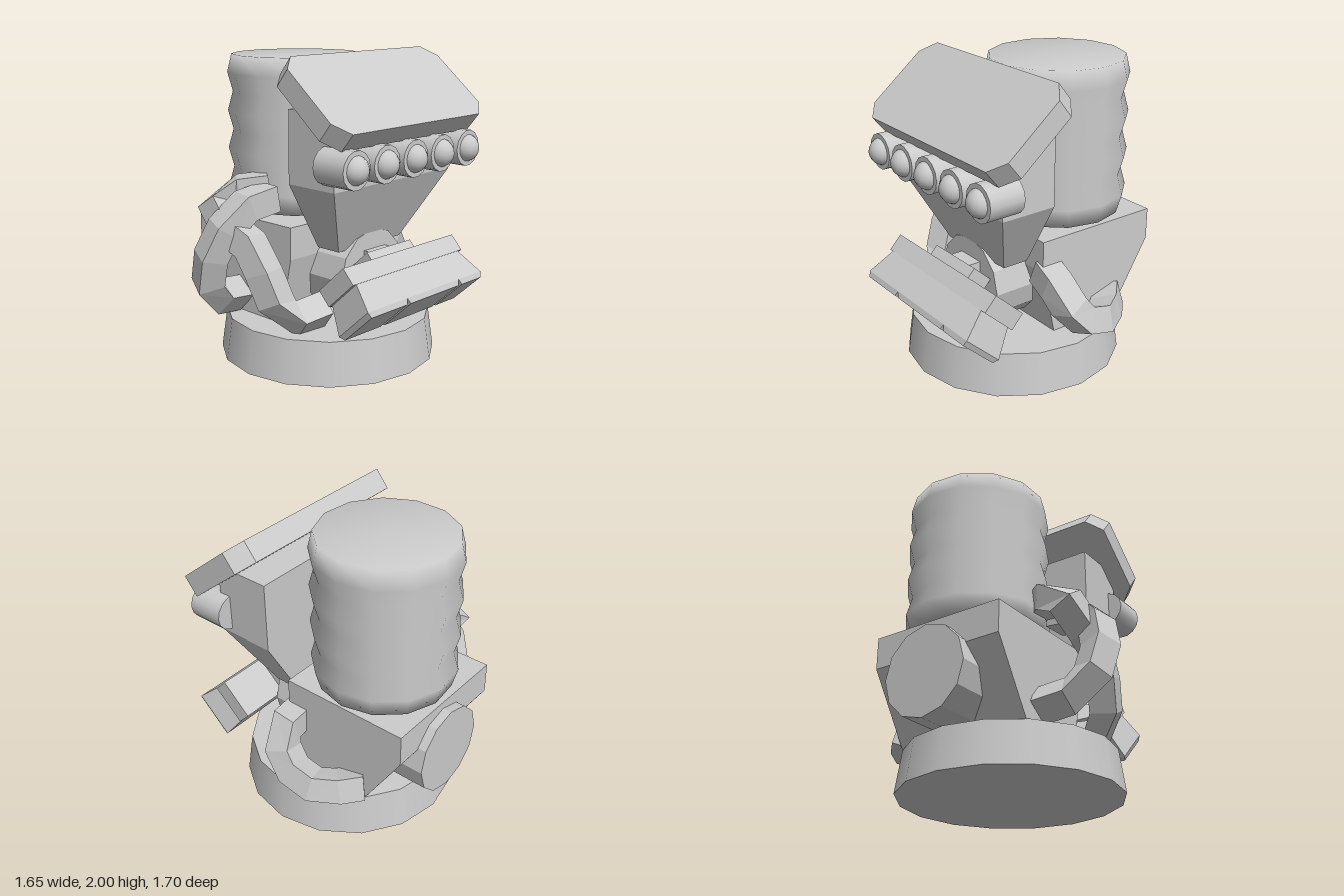
import * as THREE from 'three';

const grey = new THREE.MeshStandardMaterial({ color: 0xcccccc, side: THREE.DoubleSide });
const flat = new THREE.MeshStandardMaterial({ color: 0xcccccc, flatShading: true, side: THREE.DoubleSide });

function add(parent, name, geometry, material = flat, x = 0, y = 0, z = 0) {
  const mesh = new THREE.Mesh(geometry, material);
  mesh.name = name;
  mesh.position.set(x, y, z);
  parent.add(mesh);
  return mesh;
}

// Closed solid through rectangles [y, xMin, xMax, zMin, zMax] stacked along y
function loft(levels) {
  const pos = [], idx = [];
  for (const [y, x0, x1, z0, z1] of levels) pos.push(x1, y, z1, x1, y, z0, x0, y, z0, x0, y, z1);
  for (let i = 0; i < levels.length - 1; i++) {
    for (let j = 0; j < 4; j++) {
      const a = i * 4 + j, b = i * 4 + (j + 1) % 4;
      idx.push(a, b, b + 4, a, b + 4, a + 4);
    }
  }
  const e = (levels.length - 1) * 4;
  idx.push(0, 2, 1, 0, 3, 2, e, e + 1, e + 2, e, e + 2, e + 3);
  const g = new THREE.BufferGeometry();
  g.setAttribute('position', new THREE.Float32BufferAttribute(pos, 3));
  g.setIndex(idx);
  const out = g.toNonIndexed();
  out.computeVertexNormals();
  return out;
}

const polygon = pts => new THREE.Shape(pts.map(p => new THREE.Vector2(...p)));

// Square-section hose swept along a few points
function hose(points, size = 0.17, steps = 6) {
  const path = new THREE.CatmullRomCurve3(points.map(p => new THREE.Vector3(...p)));
  const h = size / 2;
  return new THREE.ExtrudeGeometry(polygon([[-h, -h], [h, -h], [h, h], [-h, h]]),
    { steps, extrudePath: path, bevelEnabled: false });
}

export function createModel() {
  const model = new THREE.Group();
  model.name = 'machine';

  // Round foot
  add(model, 'base', new THREE.CylinderGeometry(0.68, 0.72, 0.28, 16), grey, 0, 0.14, -0.06);

  // Rippled tank
  const profile = [new THREE.Vector2(0, 0.95)];
  for (let i = 0; i < 8; i++) profile.push(new THREE.Vector2(i % 2 ? 0.47 : 0.435, 0.95 + i * 0.127));
  profile.push(new THREE.Vector2(0.44, 1.96), new THREE.Vector2(0, 1.96));
  add(model, 'tank', new THREE.LatheGeometry(profile, 13), grey, -0.32, 0, -0.1).rotation.y = Math.PI;

  // Housing under the tank
  add(model, 'housing', new THREE.ExtrudeGeometry(
    polygon([[-0.77, 0.93], [-0.77, 0.72], [-0.49, 0.27], [0.02, 0.27], [0.12, 0.72], [0.12, 0.93]]),
    { depth: 0.93, bevelEnabled: false }), flat, 0, 0, -0.53);

  // Drum lying across the housing
  const drum = new THREE.CylinderGeometry(0.295, 0.295, 1.2, 12);
  drum.rotateZ(Math.PI / 2);
  add(model, 'drum', drum, flat, -0.23, 0.585, -0.095);

  // Tapered console
  add(model, 'console', loft([
    [0.77, 0.15, 0.33, -0.405, 0.185],
    [1.22, 0.15, 0.53, -0.66, 0.44],
    [1.55, 0.15, 0.53, -0.66, 0.44],
    [1.68, 0.15, 0.37, -0.66, 0.44]]));

  // Sloping panel with cut corners
  const L = 0.323, W = 0.705, c = 0.1;
  const panel = new THREE.ExtrudeGeometry(polygon([
    [-L + c, -W], [L - c, -W], [L, -W + c], [L, W - c],
    [L - c, W], [-L + c, W], [-L, W - c], [-L, -W + c]]), { depth: 0.14, bevelEnabled: false });
  panel.applyMatrix4(new THREE.Matrix4().makeBasis(
    new THREE.Vector3(0.775, -0.632, 0), new THREE.Vector3(0, 0, -1), new THREE.Vector3(0.632, 0.775, 0)));
  add(model, 'panel', panel, flat, 0.365, 1.685, -0.135);

  // Row of lamps
  const socket = new THREE.CylinderGeometry(0.118, 0.118, 0.24, 14);
  socket.rotateZ(-Math.PI / 2);
  const bulb = new THREE.SphereGeometry(0.09, 14, 10);
  for (let i = -2; i <= 2; i++) {
    const lamp = new THREE.Group();
    lamp.name = 'lamp';
    lamp.position.set(0.57, 1.375, -0.115 + i * 0.267);
    add(lamp, 'lampSocket', socket, grey);
    add(lamp, 'lampBulb', bulb, grey, 0.1);
    model.add(lamp);
  }

  // Tilted keyboard: local +y points out and down
  const keyboard = new THREE.Group();
  keyboard.name = 'keyboard';
  keyboard.position.set(0.56, 0.59, 0);
  keyboard.rotation.z = Math.atan2(-0.68, -0.73);
  add(keyboard, 'keyboardMount', loft([[-0.19, -0.083, 0.083, -0.32, 0.1], [-0.11, -0.083, 0.083, -0.32, 0.1]]));
  add(keyboard, 'keyboardTray', loft([[-0.12, -0.135, 0.135, -0.66, 0.41], [0, -0.135, 0.135, -0.66, 0.41]]));
  for (const [z0, z1, in0, in1] of [[0.08, 0.44, 0, 0.06], [-0.44, 0.08, 0, 0], [-0.68, -0.44, 0.06, 0]]) {
    add(keyboard, 'key', loft([
      [0, -0.133, 0.133, z0 + in0, z1 - in1],
      [0.19, -0.156, 0.156, z0, z1],
      [0.225, -0.143, 0.143, z0 + 0.018, z1 - 0.018]]));
  }
  model.add(keyboard);
  add(model, 'keyboardArm', new THREE.BoxGeometry(0.2, 0.08, 0.2), flat, 0.38, 0.71, -0.11);

  // Hoses: two crossing at the front, one round the back
  add(model, 'frontHose', hose([
    [-0.1, 1.09, 0.36], [-0.12, 1.05, 0.58], [-0.19, 0.87, 0.72],
    [-0.27, 0.64, 0.75], [-0.33, 0.45, 0.66], [-0.36, 0.4, 0.4]]));
  add(model, 'crossingHose', hose([
    [-0.18, 1.14, 0.3], [-0.38, 1.08, 0.56], [-0.28, 0.95, 0.62], [0, 0.81, 0.6],
    [0.12, 0.55, 0.57], [0.2, 0.38, 0.5], [0.26, 0.4, 0.25]], 0.17, 8));
  add(model, 'backHose', hose([
    [0.05, 0.7, -0.45], [0.07, 0.62, -0.65], [-0.02, 0.44, -0.71],
    [-0.25, 0.36, -0.69], [-0.47, 0.38, -0.5]]));

  return model;
}
